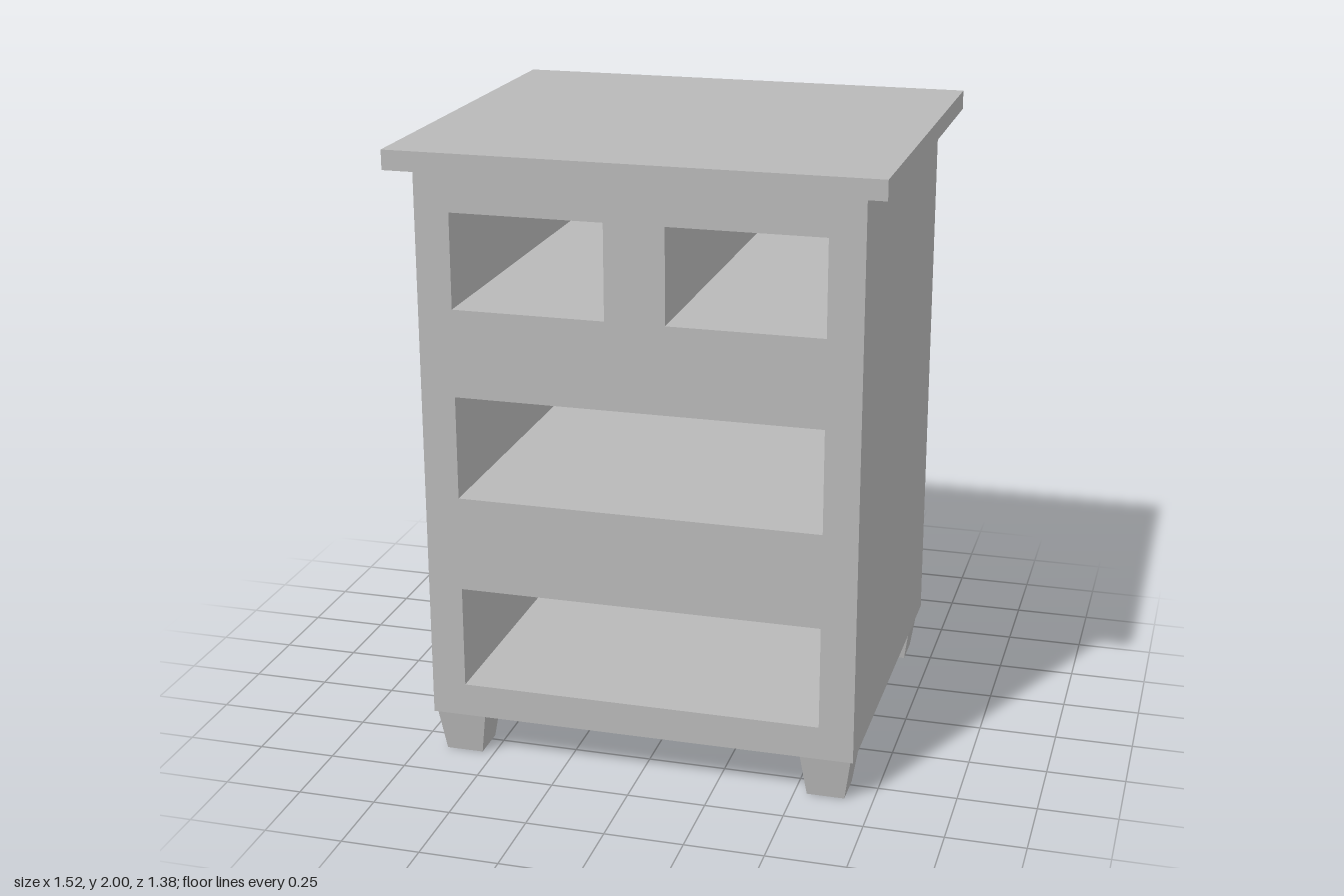
import * as THREE from 'three';

const grey = new THREE.MeshStandardMaterial({ color: 0xb8b8b8 });
grey.name = 'plain grey';

function add(parent, name, geometry, x, y, z) {
  const mesh = new THREE.Mesh(geometry, grey);
  mesh.name = name;
  mesh.position.set(x, y, z);
  parent.add(mesh);
  return mesh;
}

// Traces a rectangle from its edges
function rect(path, x0, y0, x1, y1) {
  path.moveTo(x0, y0);
  path.lineTo(x1, y0);
  path.lineTo(x1, y1);
  path.lineTo(x0, y1);
  path.closePath();
  return path;
}

export function createModel() {
  const model = new THREE.Group();
  model.name = 'cabinet';

  const halfW = 0.69, halfD = 0.623, bottom = 0.142, top = 1.938, backThickness = 0.06;

  // Carcass with open drawer bays
  const outline = rect(new THREE.Shape(), -halfW, bottom, halfW, top);
  const bays = [
    [-0.58, 0.25, 0.58, 0.583],
    [-0.58, 0.89, 0.58, 1.223],
    [-0.58, 1.503, -0.097, 1.805],
    [0.092, 1.503, 0.58, 1.805],
  ];
  for (const b of bays) outline.holes.push(rect(new THREE.Path(), ...b));
  const carcass = new THREE.ExtrudeGeometry(outline, { depth: 2 * halfD - backThickness, bevelEnabled: false });
  add(model, 'carcass', carcass, 0, 0, -halfD + backThickness);

  // Back panel closing the bays
  add(model, 'backPanel', new THREE.BoxGeometry(2 * halfW, top - bottom, backThickness),
    0, (top + bottom) / 2, -halfD + backThickness / 2);

  // Overhanging top board
  add(model, 'topBoard', new THREE.BoxGeometry(1.52, 2 - top, 1.38), 0, (2 + top) / 2, 0);

  // Tapered square feet
  const foot = new THREE.CylinderGeometry(0.081 * Math.SQRT2, 0.06 * Math.SQRT2, bottom, 4)
    .rotateY(Math.PI / 4).toNonIndexed();
  foot.computeVertexNormals();
  for (const [side, sx] of [['Left', 1], ['Right', -1]]) {
    for (const [end, sz] of [['front', 1], ['back', -1]]) {
      add(model, end + side + 'Foot', foot, sx * 0.6, bottom / 2, sz * 0.533);
    }
  }
  return model;
}
